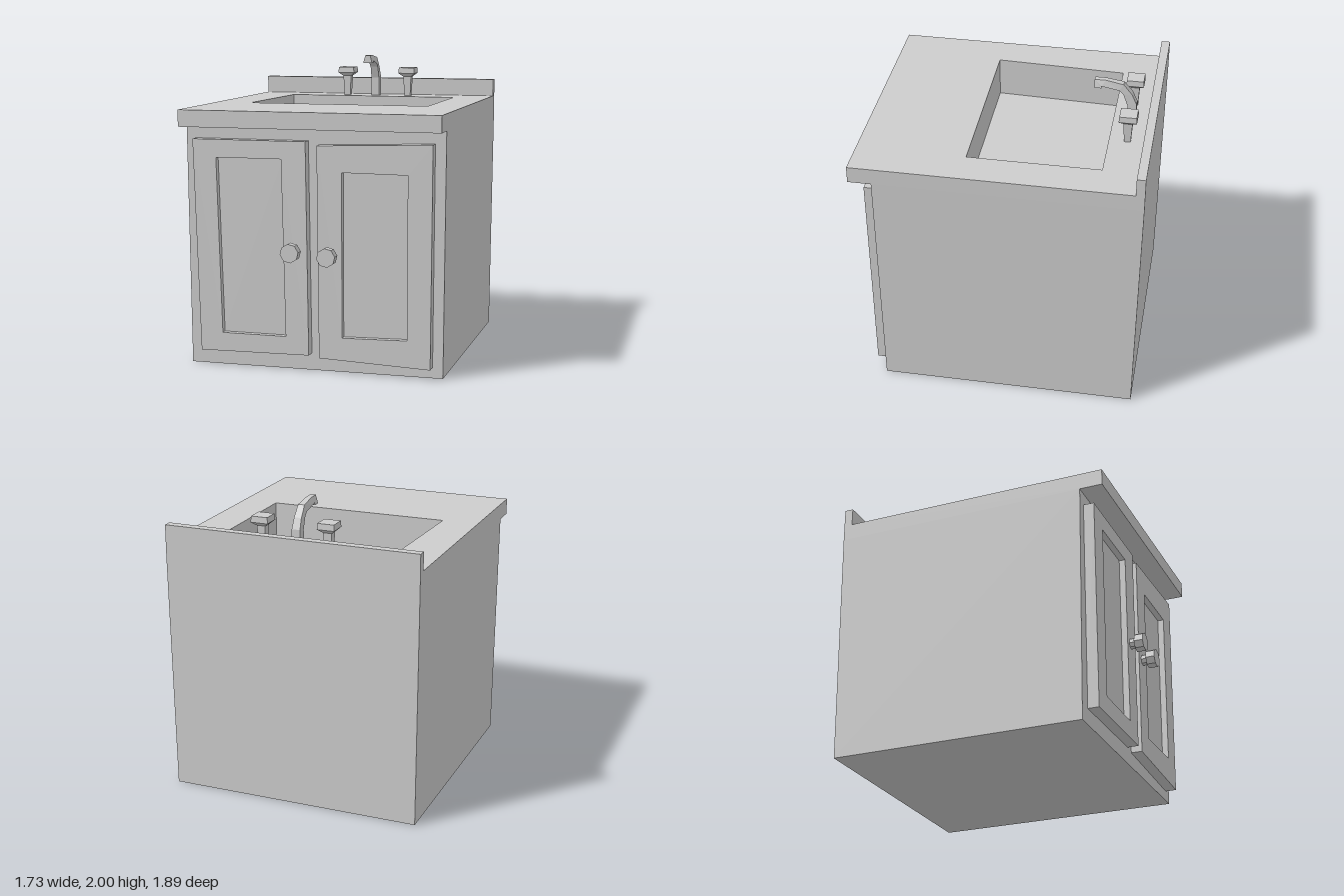
import * as THREE from 'three';

const grey = new THREE.MeshStandardMaterial({ color: 0xcccccc, flatShading: true });
grey.name = 'plain grey';

function add(parent, name, geometry) {
  const mesh = new THREE.Mesh(geometry, grey);
  mesh.name = name;
  parent.add(mesh);
  return mesh;
}

// Joins four-cornered rings (front left, front right, back right, back left) into a skin
function loft(rings, capStart, capEnd) {
  const pos = [];
  const quad = (a, b, c, d) => [a, b, c, a, c, d].forEach((p) => pos.push(...p));
  for (let r = 0; r < rings.length - 1; r++) {
    for (let i = 0; i < 4; i++) {
      const j = (i + 1) % 4;
      quad(rings[r][i], rings[r][j], rings[r + 1][j], rings[r + 1][i]);
    }
  }
  if (capStart) quad(...[...rings[0]].reverse());
  if (capEnd) quad(...rings[rings.length - 1]);
  const g = new THREE.BufferGeometry();
  g.setAttribute('position', new THREE.Float32BufferAttribute(pos, 3));
  g.computeVertexNormals();
  return g;
}

const rect = (y, x, front, back) => [[-x, y, front], [x, y, front], [x, y, back], [-x, y, back]];
const toShape = (pts) => new THREE.Shape(pts.map((p) => new THREE.Vector2(...p)));
const extrude = (shape, depth) => new THREE.ExtrudeGeometry(shape, { depth, bevelEnabled: false });

// Framed door with a recessed panel and an octagonal knob
function makeDoor(name, outline, inset, knobX, knobY) {
  const door = new THREE.Group();
  door.name = name;
  const frame = toShape(outline);
  frame.holes.push(toShape(inset));
  const lean = (g) => {
    const p = g.attributes.position;
    for (let i = 0; i < p.count; i++) p.setZ(i, p.getZ(i) + 0.009 * p.getY(i));
    g.computeVertexNormals();
    return g;
  };
  add(door, 'doorFrame', lean(extrude(frame, 0.077).translate(0, 0, 0.767)));
  add(door, 'doorPanel', lean(extrude(toShape(inset), 0.035).translate(0, 0, 0.767)));
  const disc = (r, z0, z1) => new THREE.CylinderGeometry(r, r, z1 - z0, 8)
    .rotateX(Math.PI / 2).rotateZ(0.15).translate(knobX, knobY, (z0 + z1) / 2);
  add(door, 'knobNeck', disc(0.037, 0.79, 0.89));
  add(door, 'knob', disc(0.062, 0.89, 0.95));
  return door;
}

export function createModel() {
  const model = new THREE.Group();
  model.name = 'sinkCabinet';

  // Cabinet body, slightly wider at the top
  add(model, 'cabinetBody', loft([rect(0, 0.853, 0.77, -0.93), rect(1.59, 0.866, 0.787, -0.944)], true, false));

  // Countertop with the sink opening
  const basin = [[-0.62, 0.225], [0.62, 0.22], [0.62, -0.65], [-0.585, -0.65]];
  const top = toShape([[-0.866, -0.94], [0.866, -0.94], [0.866, 0.944], [-0.866, 0.944]]);
  top.holes.push(toShape(basin.map(([x, z]) => [x, -z])));
  add(model, 'countertop', extrude(top, 0.11).rotateX(-Math.PI / 2).translate(0, 1.59, 0));
  add(model, 'backsplash', new THREE.BoxGeometry(1.732, 0.12, 0.058).translate(0, 1.76, -0.915));

  // Basin walls and floor, facing inwards
  add(model, 'basin', loft([1.59, 1.43].map((y) => basin.map(([x, z]) => [x, y, z])), false, true));

  // Doors
  model.add(makeDoor('rightDoor',
    [[-0.76, 0.105], [-0.02, 0.113], [-0.035, 1.507], [-0.8, 1.507]],
    [[-0.61, 0.23], [-0.175, 0.23], [-0.198, 1.39], [-0.64, 1.39]], -0.118, 0.797));
  model.add(makeDoor('leftDoor',
    [[0.05, 0.1], [0.785, 0.07], [0.795, 1.508], [0.04, 1.483]],
    [[0.205, 0.243], [0.635, 0.252], [0.635, 1.312], [0.205, 1.316]], 0.125, 0.78));

  // Square tap handles: [height, half width]
  const handleProfile = [[1.69, 0.021], [1.84, 0.029], [1.845, 0.036], [1.865, 0.059], [1.905, 0.056]];
  [['rightTapHandle', -0.2], ['leftTapHandle', 0.255]].forEach(([name, x]) => {
    const rings = handleProfile.map(([y, h]) => rect(y, h, h, -h));
    add(model, name, loft(rings, true, true)).position.set(x, 0, -0.77);
  });

  // Curved spout: [front z, front y, half width, back z, back y, half width]
  const spout = [
    [-0.745, 1.69, 0.03, -0.8, 1.69, 0.03],
    [-0.74, 1.83, 0.028, -0.8, 1.84, 0.028],
    [-0.71, 1.91, 0.027, -0.768, 1.91, 0.025],
    [-0.683, 1.935, 0.028, -0.71, 1.98, 0.022],
    [-0.566, 1.96, 0.033, -0.593, 2.0, 0.018],
    [-0.566, 1.945, 0.033, -0.519, 2.0, 0.018],
    [-0.519, 1.945, 0.033, -0.519, 2.0, 0.018],
  ].map(([fz, fy, fw, bz, by, bw]) => [[-fw, fy, fz], [fw, fy, fz], [bw, by, bz], [-bw, by, bz]]);
  add(model, 'spout', loft(spout, true, true)).position.x = 0.014;

  return model;
}
